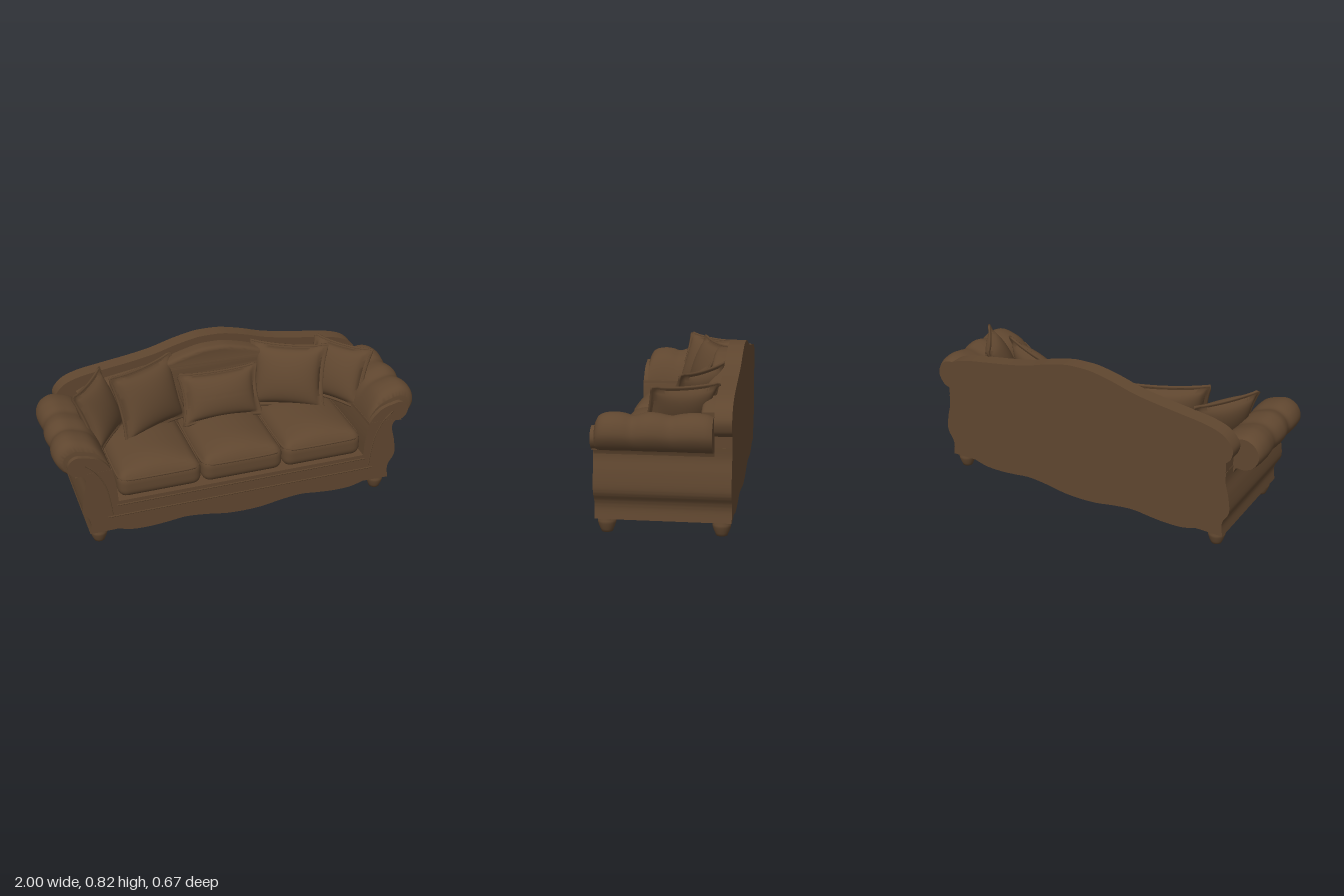
import * as THREE from 'three';
import { mergeVertices, mergeGeometries, toCreasedNormals } from 'three/addons/utils/BufferGeometryUtils.js';

const upholstery = new THREE.MeshStandardMaterial({ color: 0x5f462f });
upholstery.name = 'brown upholstery';

const V2 = (p) => new THREE.Vector2(p[0], p[1]);

// Points of a smooth open curve through the given points
const spline = (pts, n = 40) => new THREE.SplineCurve(pts.map(V2)).getPoints(n);

// Closed outline symmetric about x = 0 from its right half
function mirrored(half) {
  const left = half.slice().reverse().filter((p) => p.x > 1e-4).map((p) => new THREE.Vector2(-p.x, p.y));
  return new THREE.Shape([...half, ...left]);
}

// Weld a geometry, then smooth it below the crease angle
function smooth(geo, angle = 0.6) {
  geo.deleteAttribute('uv');
  geo.deleteAttribute('normal');
  return toCreasedNormals(mergeVertices(geo, 1e-4), angle);
}

function extrude(shape, z0, z1, options = {}) {
  const geo = new THREE.ExtrudeGeometry(shape, { depth: z1 - z0, bevelEnabled: false, ...options });
  return geo.translate(0, 0, z0);
}

// Move every vertex by a rule
function warp(geo, rule) {
  const pos = geo.attributes.position, v = new THREE.Vector3();
  for (let i = 0; i < pos.count; i++) {
    rule(v.fromBufferAttribute(pos, i));
    pos.setXYZ(i, v.x, v.y, v.z);
  }
  return geo;
}

function piping(points, radius, closed = false) {
  const curve = new THREE.CatmullRomCurve3(points.map((p) => new THREE.Vector3(...p)), closed);
  return new THREE.TubeGeometry(curve, 60, radius, 6, closed);
}

// Gooseneck arm section on one side, with the scroll scaled by s
function armShape(side, s) {
  const pts = spline([[0.85, 0.40], [0.868, 0.438], [0.905, 0.438], [0.965, 0.46], [1, 0.525], [0.98, 0.59],
    [0.925, 0.625], [0.86, 0.618], [0.785, 0.58], [0.73, 0.49], [0.70, 0.37], [0.69, 0.25]], 60);
  pts.push(new THREE.Vector2(0.84, 0.25));
  pts.forEach((p) => { scaleScroll(p, s); p.x *= side; });
  return new THREE.Shape(pts);
}

function scaleScroll(p, s) {
  if (p.y < 0.44) return;
  const side = Math.sign(p.x), x = Math.abs(p.x);
  p.x = side * (0.85 + (x - 0.85) * (x > 0.85 ? s : 1));
  p.y = 0.44 + (p.y - 0.44) * s;
}

// Padded arm with three soft lobes along its length
function armGeometry(side) {
  const lobes = new THREE.SplineCurve([[-0.25, 0.9], [-0.22, 0.97], [-0.16, 1.01], [-0.1, 0.97], [-0.05, 0.92],
    [0, 0.97], [0.05, 1], [0.09, 0.96], [0.13, 0.9], [0.17, 0.96], [0.22, 0.99], [0.27, 0.95], [0.298, 0.86], [0.31, 0.74]].map(V2));
  const samples = lobes.getPoints(200);
  const at = (z) => samples.reduce((a, b) => (Math.abs(b.x - z) < Math.abs(a.x - z) ? b : a)).y;
  const geo = extrude(armShape(side, 1), -0.25, 0.31, { steps: 40 });
  return smooth(warp(geo, (v) => scaleScroll(v, at(v.z))), 0.9);
}

// Seat cushion: rounded box with a crowned top
function cushionGeometry(w, h, d, r) {
  const inner = new THREE.Vector3(), half = new THREE.Vector3(w / 2 - r, h / 2 - r, d / 2 - r);
  const geo = warp(new THREE.BoxGeometry(w, h, d, 28, 10, 28), (v) => {
    inner.copy(v).clamp(half.clone().negate(), half);
    v.sub(inner).normalize().multiplyScalar(r).add(inner);
    const u = 2 * v.x / w, t = 2 * v.z / d;
    if (v.y > 0) v.y += 0.055 * (1 - u * u) * (1 - t ** 4) * (v.y / (h / 2));
  });
  return smooth(geo, 1.2);
}

// Throw pillow: puffed centre, flat flange and pointed corners
function pillowGeometry(w, h, t) {
  const face = (sign) => {
    const geo = warp(new THREE.PlaneGeometry(2, 2, 28, 28), (v) => {
      const u = v.x, k = v.y;
      const a = Math.max(0, 1 - (u / 0.9) ** 2), b = Math.max(0, 1 - (k / 0.9) ** 2);
      v.set(w / 2 * u * (1 - 0.09 * (1 - k * k)), h / 2 * k * (1 - 0.09 * (1 - u * u)),
        (t / 2) * Math.pow(a * b, 0.42) + 0.006);
    });
    if (sign < 0) geo.rotateY(Math.PI);
    return geo;
  };
  const rim = [];
  for (let i = 0; i < 40; i++) {
    const s = (i % 10) / 5 - 1, c = 1 - 0.09 * (1 - s * s);
    const [x, y] = [[s, -c], [c, s], [-s, c], [-c, -s]][Math.floor(i / 10)];
    rim.push([x * w / 2, y * h / 2, 0]);
  }
  return mergeGeometries([smooth(mergeGeometries([face(1), face(-1)]), 1), piping(rim, 0.008, true).toNonIndexed().deleteAttribute('uv')]);
}

export function createModel() {
  const group = new THREE.Group();
  const add = (name, geo, x = 0, y = 0, z = 0) => {
    const mesh = new THREE.Mesh(geo, upholstery);
    mesh.name = name;
    mesh.position.set(x, y, z);
    group.add(mesh);
    return mesh;
  };

  // Base with scalloped apron and flared sides
  const body = [
    ...spline([[0, 0.035], [0.1, 0.04], [0.22, 0.06], [0.33, 0.07], [0.43, 0.06], [0.52, 0.053], [0.62, 0.056], [0.7, 0.077]]),
    ...spline([[0.85, 0.075], [0.842, 0.13], [0.85, 0.17], [0.874, 0.21], [0.88, 0.25], [0.87, 0.32], [0.853, 0.39], [0.852, 0.45]]),
    V2([0.715, 0.45]), V2([0.69, 0.25]), V2([0, 0.25]),
  ];
  add('base', smooth(extrude(mirrored(body), -0.335, 0.335)));

  // Camel back with rounded shoulders
  const crest = [[0, 0.82], [0.08, 0.816], [0.2, 0.79], [0.32, 0.755], [0.45, 0.73], [0.6, 0.708], [0.74, 0.685],
    [0.83, 0.65], [0.88, 0.59], [0.875, 0.535], [0.85, 0.505]];
  const back = [V2([0, 0.2]), V2([0.85, 0.2]), ...spline(crest, 60).reverse()];
  add('back', smooth(extrude(mirrored(back), -0.335, -0.25)));

  // Padded inside of the back
  const pad = [V2([0, 0.25]), V2([0.74, 0.25]), ...spline(crest.slice(0, 8).map(([x, y]) => [x * 0.9, y - 0.06]), 40).reverse()];
  add('backPad', smooth(extrude(mirrored(pad), -0.26, -0.2,
    { bevelEnabled: true, bevelSize: 0.02, bevelThickness: 0.025, bevelSegments: 4 }), 0.8));

  // Mouldings on the front rail
  [[0.16, 0.75], [0.225, 0.7]].forEach(([y, x]) =>
    add('railPiping', piping([[-x, y, 0.333], [0, y, 0.333], [x, y, 0.333]], 0.005)));

  // Turned foot profile
  const foot = new THREE.LatheGeometry([[0, 0], [0.029, 0], [0.033, 0.014], [0.036, 0.018], [0.045, 0.045],
    [0.046, 0.058], [0.04, 0.07], [0.044, 0.074], [0.044, 0.09]].map(V2), 24);

  for (const side of [1, -1]) {
    const label = side > 0 ? 'left' : 'right';

    // Arm, its front panel and panel piping
    add(label + 'Arm', armGeometry(side));
    add(label + 'ArmFront', smooth(extrude(armShape(side, 0.6), 0.29, 0.334)));
    add(label + 'ArmPiping', piping([[0.85, 0.5], [0.8, 0.45], [0.755, 0.36], [0.735, 0.26], [0.725, 0.17]]
      .map(([x, y]) => [x * side, y, 0.333]), 0.004));

    for (const z of [0.283, -0.283]) add(label + (z > 0 ? 'Front' : 'Back') + 'Foot', foot, side * 0.795, 0, z);

    // Pillows turned towards the middle
    const inner = add(label + 'InnerPillow', pillowGeometry(0.43, 0.37, 0.15), side * 0.4, 0.575, -0.1);
    inner.rotation.set(-0.33, -side * 0.46, 0, 'YXZ');
    const outer = add(label + 'OuterPillow', pillowGeometry(0.37, 0.34, 0.13), side * 0.685, 0.57, -0.06);
    outer.rotation.set(-0.4, -side * 0.98, side * 0.04, 'YXZ');
  }

  // Centre pillow
  add('centrePillow', pillowGeometry(0.45, 0.28, 0.13), 0, 0.535, -0.08).rotation.x = -0.4;

  // Three seat cushions with welting
  const seat = cushionGeometry(0.452, 0.14, 0.53, 0.05);
  const welt = [];
  for (const [sx, sz] of [[1, 1], [-1, 1], [-1, -1], [1, -1]]) {
    for (let i = 0; i <= 4; i++) {
      const a = Math.atan2(sz, sx) + (i / 4 - 0.5) * Math.PI / 2;
      welt.push([sx * 0.169 + Math.cos(a) * 0.05, 0.033, sz * 0.208 + Math.sin(a) * 0.05]);
    }
  }
  for (const i of [-1, 0, 1]) {
    add('seatCushion', seat, i * 0.456, 0.315, 0.06);
    add('seatWelt', piping(welt, 0.007, true), i * 0.456, 0.325, 0.06);
  }
  return group;
}
